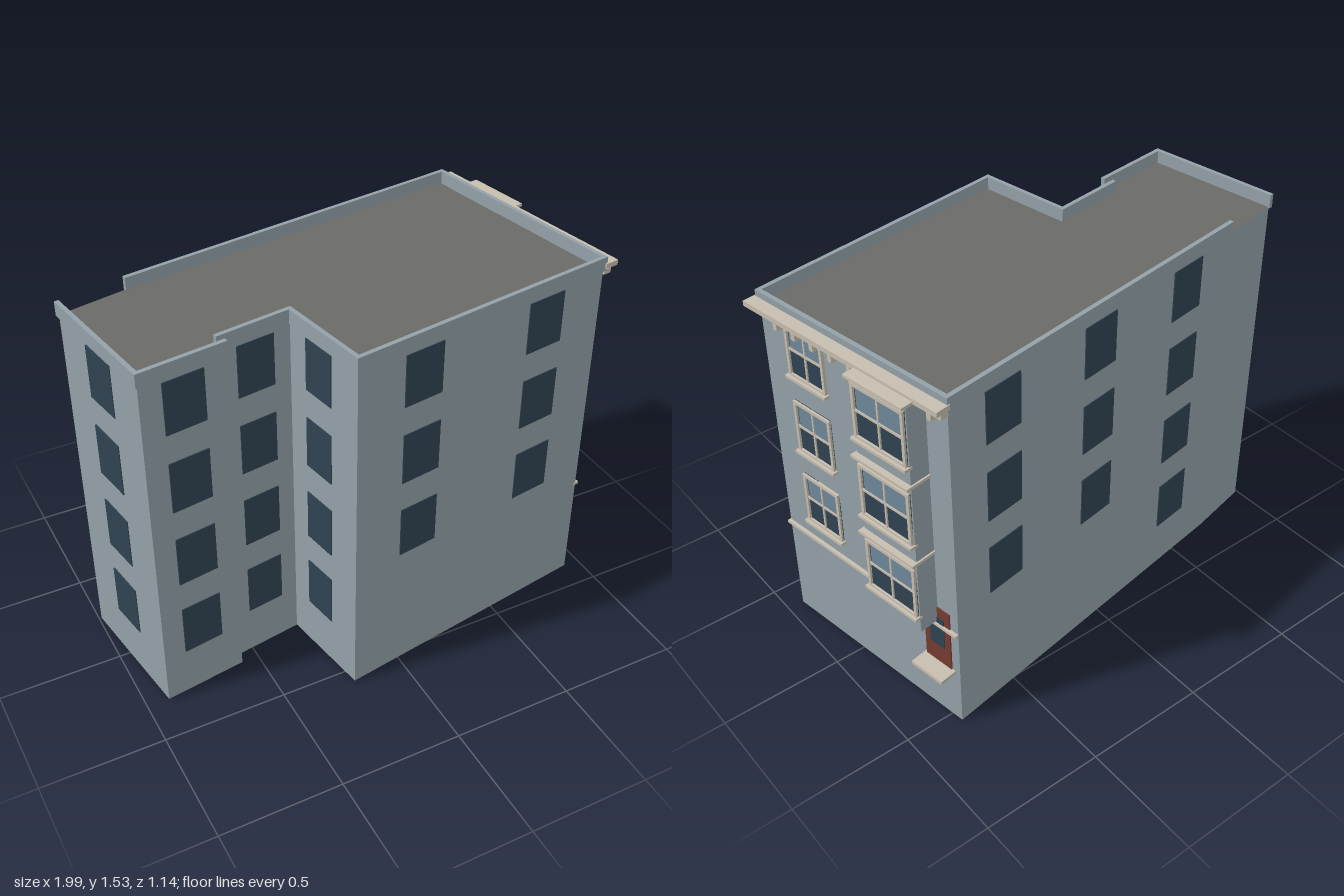
import * as THREE from 'three';

const mat = (color) => new THREE.MeshStandardMaterial({ color });
const WALL = mat(0x93a1a8), ROOF = mat(0x6a6b65), GLASS = mat(0x2f4251);
const PANE = mat(0x6f889a), TRIM = mat(0xc6bdae), DOOR = mat(0x753a30);

// Box given by its extents: x, y and z ranges
function box(parent, name, material, [x0, x1], [y0, y1], [z0, z1]) {
  const m = new THREE.Mesh(new THREE.BoxGeometry(x1 - x0, y1 - y0, z1 - z0), material);
  m.position.set((x0 + x1) / 2, (y0 + y1) / 2, (z0 + z1) / 2);
  m.name = name;
  parent.add(m);
  return m;
}

// Footprint corners (x, z), starting front right and going round by the left
const PLAN = [
  [0.86, 0.521], [-0.302, 0.521], [-0.302, 0.122], [-0.605, 0.122], [-0.605, 0.167],
  [-0.947, 0.163], [-0.938, -0.403], [-0.652, -0.419], [0.86, -0.419],
];
const ROOF_Y = 1.48, TOP = 1.533, FACE = 0.86, BAY = 0.945;
const FLOORS = [0.21, 0.555, 0.9, 1.24];   // plain window sills
const SASH_FLOORS = [0.545, 0.89, 1.235];  // framed window sills

// Framed sash window on a wall facing +x
function sashWindow(parent, face, y, z, width) {
  const g = new THREE.Group();
  g.name = 'sashWindow';
  const h = 0.232, t = 0.013, z0 = z - width / 2, z1 = z + width / 2, mid = y + h * 0.52;
  const out = [face - 0.01, face + 0.012];
  box(g, 'windowGlass', GLASS, [face - 0.01, face + 0.003], [y, y + h], [z0, z1]);
  box(g, 'upperPane', PANE, [face - 0.01, face + 0.005], [mid, y + h - 0.022], [z0 + 0.019, z1 - 0.019]);
  for (const a of [z0, z1 - t]) box(g, 'frameSide', TRIM, out, [y, y + h], [a, a + t]);
  box(g, 'frameTop', TRIM, out, [y + h - t, y + h], [z0, z1]);
  box(g, 'frameBottom', TRIM, out, [y, y + t], [z0, z1]);
  box(g, 'meetingRail', TRIM, [face, face + 0.009], [mid - 0.006, mid + 0.004], [z0, z1]);
  box(g, 'glazingBar', TRIM, [face, face + 0.009], [y, y + h], [z - 0.004, z + 0.004]);
  box(g, 'windowSill', TRIM, [face - 0.01, face + 0.024], [y - 0.008, y + 0.004], [z0 - 0.008, z1 + 0.008]);
  parent.add(g);
}

export function createModel() {
  const model = new THREE.Group();
  model.name = 'townhouse';
  const house = new THREE.Group();
  house.name = 'house';
  house.rotation.y = 0.159;
  model.add(house);

  // Main block with the roof and underside as caps
  const shape = new THREE.Shape(PLAN.map(([x, z]) => new THREE.Vector2(x, -z)));
  const geo = new THREE.ExtrudeGeometry(shape, { depth: ROOF_Y, bevelEnabled: false });
  geo.rotateX(-Math.PI / 2);
  const block = new THREE.Mesh(geo, [ROOF, WALL]);
  block.name = 'wallsAndRoof';
  house.add(block);

  // Parapet, open at the small step and along the bent rear corner
  PLAN.forEach(([x0, z0], i) => {
    if (i === 3 || i === 6) return;
    const [x1, z1] = PLAN[(i + 1) % PLAN.length], t = 0.018;
    const len = Math.hypot(x1 - x0, z1 - z0) + t;
    const p = new THREE.Mesh(new THREE.BoxGeometry(len, TOP - 1.475, t), WALL);
    p.position.set((x0 + x1) / 2, (TOP + 1.475) / 2, (z0 + z1) / 2);
    p.rotation.y = -Math.atan2(z1 - z0, x1 - x0);
    p.name = 'parapet';
    house.add(p);
  });

  // Plain windows on walls facing front or back: [x0, x1, wall z, lowest floor]
  const alongX = [
    [-0.093, 0.079, 0.521, 1], [0.489, 0.662, 0.521, 1],
    [-0.857, -0.69, 0.165, 0], [-0.531, -0.374, 0.122, 0],
    [0.522, 0.692, -0.419, 1], [0.019, 0.189, -0.419, 1], [-0.484, -0.314, -0.419, 0],
  ];
  // Plain windows on walls facing left: [z0, z1, wall x]
  const alongZ = [[-0.2, -0.03, -0.943], [0.22, 0.37, -0.302]];
  FLOORS.forEach((y, floor) => {
    for (const [x0, x1, z, low] of alongX) {
      if (floor >= low) box(house, 'plainWindow', GLASS, [x0, x1], [y, y + 0.218], [z - 0.004, z + 0.004]);
    }
    for (const [z0, z1, x] of alongZ) {
      box(house, 'plainWindow', GLASS, [x - 0.004, x + 0.004], [y, y + 0.218], [z0, z1]);
    }
  });

  // Street facade: bay, framed windows and string courses
  box(house, 'bay', WALL, [FACE - 0.01, BAY], [0.472, 1.485], [-0.316, -0.05]);
  for (const y of SASH_FLOORS) {
    sashWindow(house, FACE, y, 0.288, 0.198);
    sashWindow(house, BAY, y, -0.184, 0.252);
  }
  for (const y of [0.803, 1.149, 1.484]) {
    box(house, 'bayBand', TRIM, [FACE, BAY + 0.025], [y, y + 0.012], [-0.323, -0.043]);
  }
  box(house, 'beltCourse', TRIM, [FACE - 0.01, FACE + 0.015], [0.451, 0.463], [-0.419, 0.523]);

  // Cornice in two steps on a row of brackets
  box(house, 'corniceUpper', TRIM, [FACE, 0.92], [1.486, 1.507], [-0.432, 0.536]);
  box(house, 'corniceLower', TRIM, [FACE, 0.895], [1.458, 1.478], [-0.424, 0.528]);
  box(house, 'corniceCore', TRIM, [FACE, 0.88], [1.476, 1.488], [-0.42, 0.522]);
  for (let i = 0; i < 9; i++) {
    const z = 0.417 - i * 0.0965;
    box(house, 'corniceBracket', TRIM, [FACE - 0.01, 0.885], [1.418, 1.46], [z - 0.01, z + 0.01]);
  }

  // Entrance door and its landing slab
  box(house, 'door', DOOR, [FACE - 0.01, FACE + 0.005], [0.25, 0.537], [-0.379, -0.247]);
  box(house, 'doorGlass', GLASS, [FACE, FACE + 0.008], [0.345, 0.492], [-0.35, -0.276]);
  box(house, 'landing', TRIM, [FACE - 0.01, 0.935], [0.24, 0.255], [-0.396, -0.238]);

  return model;
}
